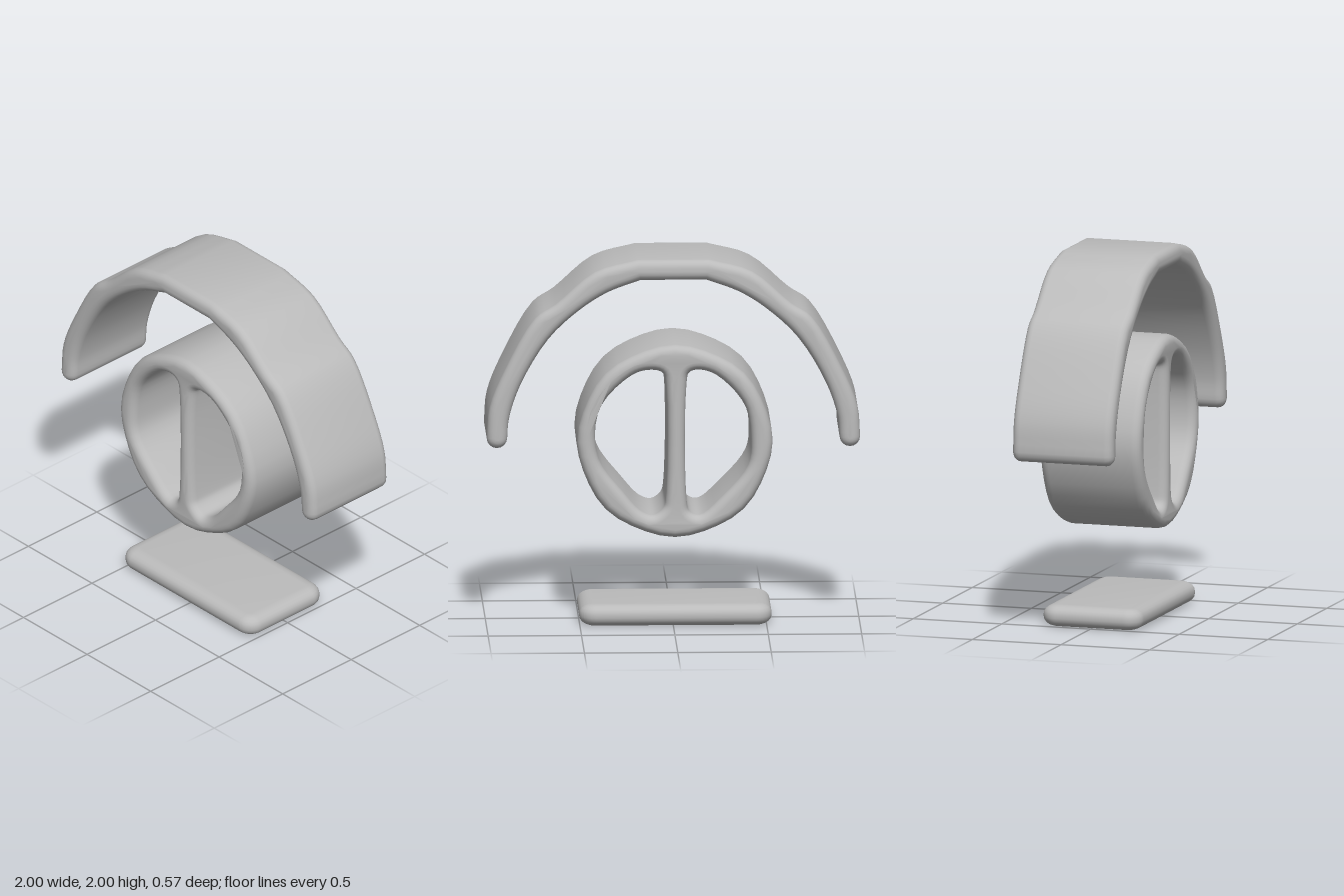
import * as THREE from 'three';
import { toCreasedNormals } from 'three/addons/utils/BufferGeometryUtils.js';

const V = (p) => new THREE.Vector2(p[0], p[1]);

// Smooth closed or open curve through a few points
function smooth(points, closed, count) {
  const curve = new THREE.CatmullRomCurve3(
    points.map((p) => new THREE.Vector3(p[0], p[1], 0)), closed, 'centripetal');
  const out = curve.getPoints(count).map((p) => new THREE.Vector2(p.x, p.y));
  if (closed) out.pop();
  return out;
}

// Rounded slab of the given depth, centred on z, its walls on the outline
function slab(shape, depth, size, thickness) {
  const geometry = new THREE.ExtrudeGeometry(shape, {
    depth: depth - 2 * thickness, bevelEnabled: true, bevelSize: size,
    bevelThickness: thickness, bevelOffset: -size, bevelSegments: 5, curveSegments: 8,
  });
  geometry.translate(0, 0, thickness - depth / 2);
  return geometry;
}

export function createModel() {
  const group = new THREE.Group();
  const grey = new THREE.MeshStandardMaterial({ color: 0xbbbbbb });
  grey.name = 'plain grey';
  const add = (name, geometry) => {
    const mesh = new THREE.Mesh(toCreasedNormals(geometry, 0.75), grey);
    mesh.name = name;
    group.add(mesh);
  };

  // Arched band: faceted arc with a flat crown and round ends
  const outer = [[0.19, 2.0], [0.42, 1.935], [0.63, 1.76], [0.74, 1.685],
    [0.9, 1.41], [0.985, 1.2], [1.0, 1.035]];
  const inner = [[0.89, 1.03], [0.88, 1.14], [0.82, 1.32], [0.67, 1.57],
    [0.5, 1.73], [0.35, 1.825], [0.175, 1.89]];
  const cap = [];
  for (let i = 1; i < 8; i++) {
    const a = (i / 8) * Math.PI;
    cap.push(new THREE.Vector2(0.945 + 0.055 * Math.cos(a), 1.033 - 0.055 * Math.sin(a)));
  }
  const half = [...smooth(outer, false, 24), ...cap, ...smooth(inner, false, 24)];
  const mirrored = half.map((p) => new THREE.Vector2(-p.x, p.y)).reverse();
  add('archBand', slab(new THREE.Shape([...half, ...mirrored]), 0.565, 0.045, 0.045));

  // Ring with a central divider, left between two D-shaped openings
  const ring = new THREE.Shape();
  ring.setFromPoints(Array.from({ length: 40 }, (_, i) => {
    const a = (i / 40) * Math.PI * 2;
    const r = 0.52 - 0.004 * Math.cos(8 * a + Math.PI);
    return V([-0.008 + r * Math.cos(a), 1.012 + r * Math.sin(a)]);
  }));
  const openings = [
    [[-0.07, 1.32], [-0.085, 1.385], [-0.135, 1.4], [-0.23, 1.37], [-0.38, 1.21],
      [-0.417, 1.015], [-0.4, 0.877], [-0.257, 0.706], [-0.14, 0.61],
      [-0.085, 0.63], [-0.07, 0.7]],
    [[0.04, 1.32], [0.06, 1.385], [0.128, 1.4], [0.225, 1.37], [0.395, 1.187],
      [0.405, 0.93], [0.267, 0.733], [0.17, 0.63], [0.107, 0.61],
      [0.053, 0.65], [0.04, 0.706]],
  ];
  for (const o of openings) ring.holes.push(new THREE.Path(smooth(o, true, 48)));
  add('dividedRing', slab(ring, 0.57, 0.045, 0.05));

  // Base plate: rounded rectangle lying flat
  const w = 0.515, d = 0.28, r = 0.09;
  const plate = new THREE.Shape();
  plate.moveTo(-w + r, -d);
  plate.lineTo(w - r, -d).absarc(w - r, -d + r, r, -Math.PI / 2, 0, false);
  plate.lineTo(w, d - r).absarc(w - r, d - r, r, 0, Math.PI / 2, false);
  plate.lineTo(-w + r, d).absarc(-w + r, d - r, r, Math.PI / 2, Math.PI, false);
  plate.lineTo(-w, -d + r).absarc(-w + r, -d + r, r, Math.PI, Math.PI * 1.5, false);
  const base = slab(plate, 0.116, 0.07, 0.05);
  base.rotateX(-Math.PI / 2);
  base.translate(-0.012, 0.062, 0);
  add('basePlate', base);

  return group;
}
